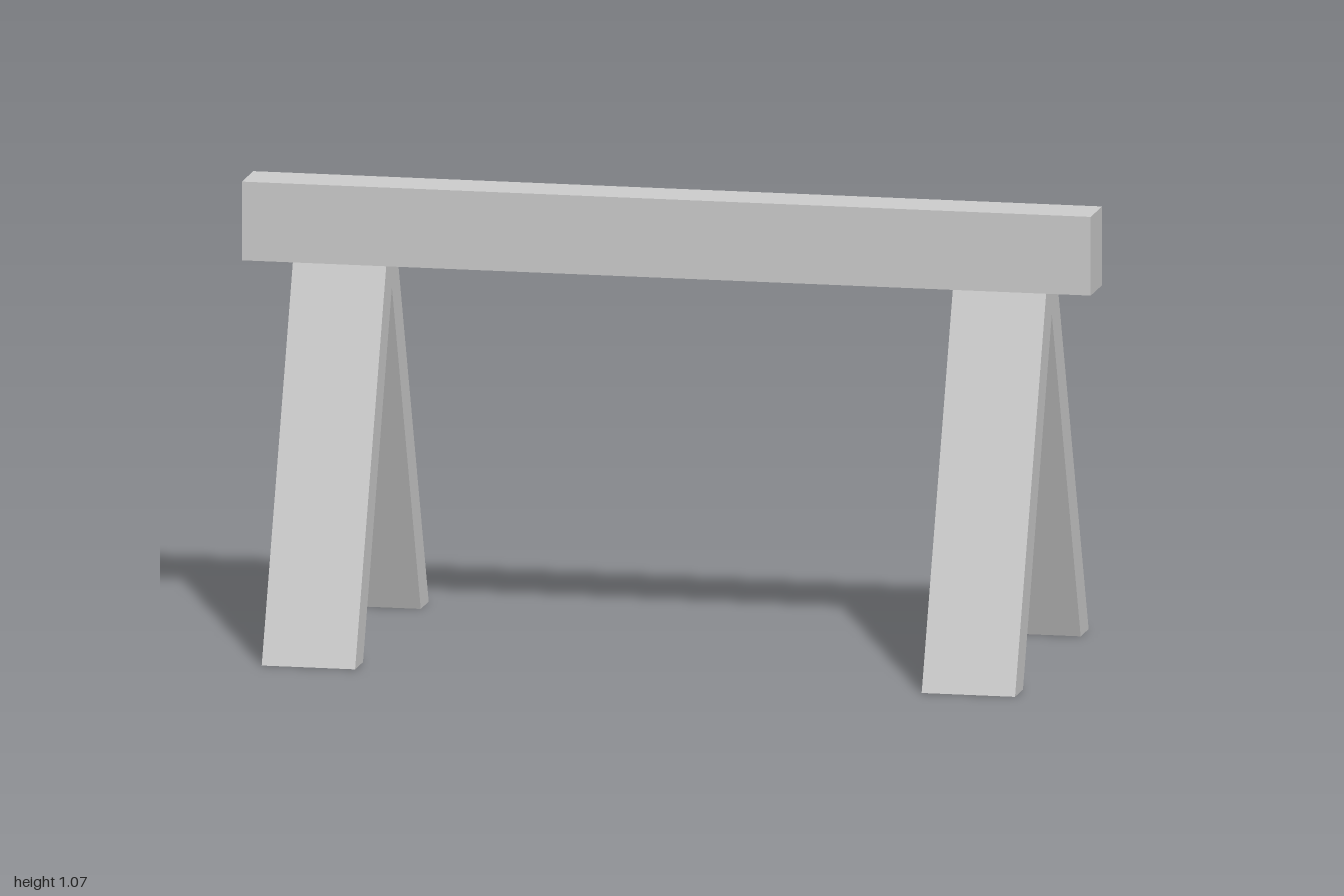
import * as THREE from 'three';

export function createModel() {
  const model = new THREE.Group();
  model.name = 'sawhorse';
  const material = new THREE.MeshStandardMaterial({ color: 0xcccccc, flatShading: true });

  const beamBottom = 0.88, beamTop = 1.065, beamDepth = 0.126;
  const legWidth = 0.22;

  // Horizontal top beam
  const beam = new THREE.Mesh(
    new THREE.BoxGeometry(2, beamTop - beamBottom, beamDepth), material);
  beam.name = 'beam';
  beam.position.y = (beamTop + beamBottom) / 2;
  model.add(beam);

  // Splayed leg pair: an inverted V, flat where it meets the beam
  const profile = new THREE.Shape([
    [0.408, 0], [beamDepth / 2, beamBottom], [-beamDepth / 2, beamBottom],
    [-0.408, 0], [-0.32, 0], [0, 0.82], [0.32, 0],
  ].map(([z, y]) => new THREE.Vector2(z, y)));
  const legGeometry = new THREE.ExtrudeGeometry(profile, { depth: legWidth, bevelEnabled: false });
  legGeometry.translate(0, 0, -legWidth / 2);
  legGeometry.rotateY(Math.PI / 2);

  for (const [name, x] of [['rightLegPair', -0.77], ['leftLegPair', 0.785]]) {
    const legs = new THREE.Mesh(legGeometry, material);
    legs.name = name;
    legs.position.x = x;
    model.add(legs);
  }

  return model;
}
